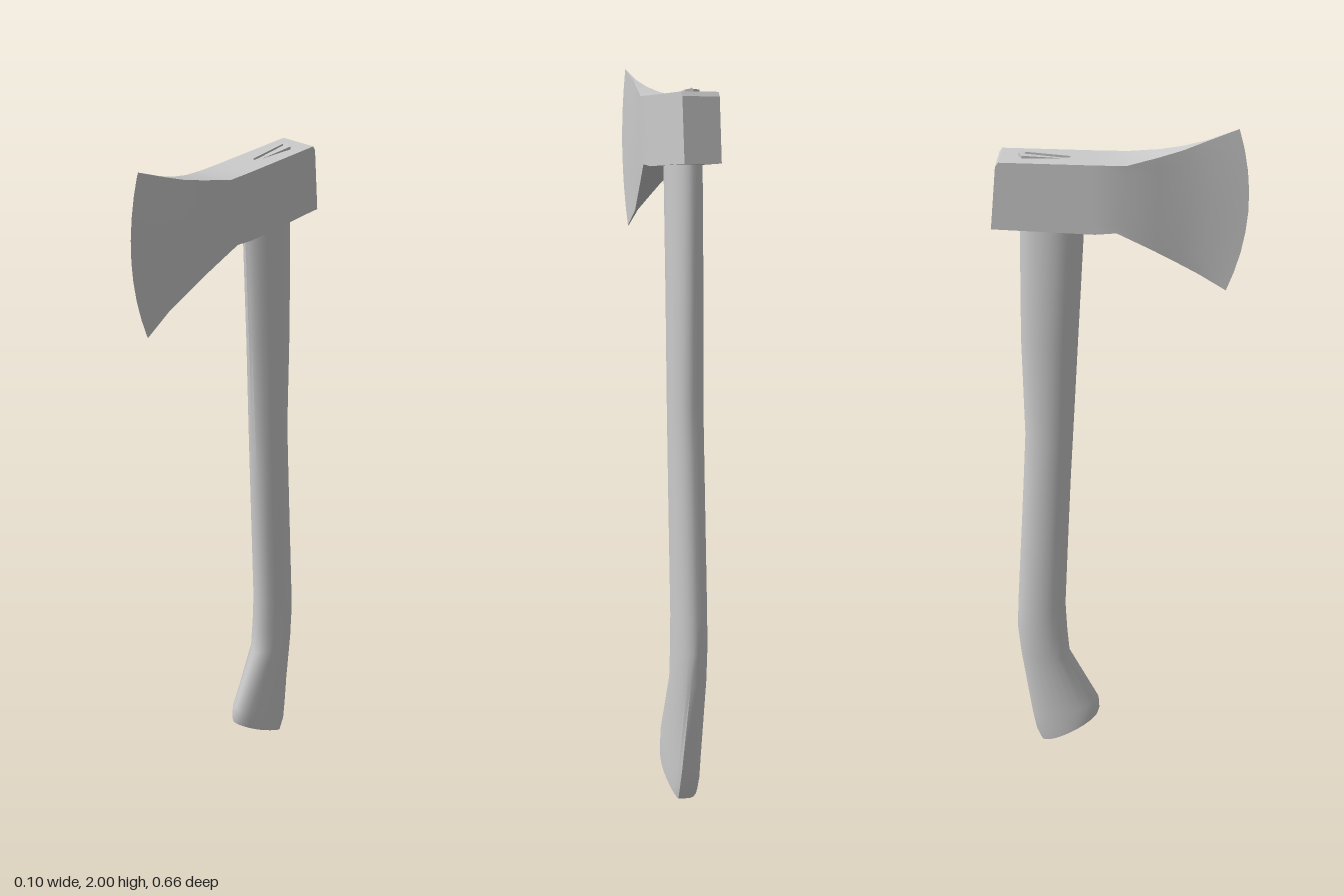
import * as THREE from 'three';
import { toCreasedNormals } from 'three/addons/utils/BufferGeometryUtils.js';

const material = new THREE.MeshStandardMaterial({ color: 0xcccccc });

// Skin a list of closed rings (each counter-clockwise about the direction of travel) and cap both ends.
function loft(rings, crease) {
  const pos = [];
  const tri = (...pts) => pts.forEach((p) => pos.push(p.x, p.y, p.z));
  const n = rings[0].length;
  const centre = (ring) => ring.reduce((s, p) => s.add(p), new THREE.Vector3()).divideScalar(n);
  const first = rings[0], last = rings[rings.length - 1];
  const c0 = centre(first), c1 = centre(last);
  for (let j = 0; j < n; j++) {
    const k = (j + 1) % n;
    for (let i = 0; i < rings.length - 1; i++) {
      const a = rings[i], b = rings[i + 1];
      tri(a[j], a[k], b[k]);
      tri(a[j], b[k], b[j]);
    }
    tri(c0, first[k], first[j]);
    tri(c1, last[j], last[k]);
  }
  const geo = new THREE.BufferGeometry();
  geo.setAttribute('position', new THREE.Float32BufferAttribute(pos, 3));
  return toCreasedNormals(geo, crease);
}

function part(name, geometry) {
  const mesh = new THREE.Mesh(geometry, material);
  mesh.name = name;
  return mesh;
}

// Axe head: columns from the poll to the cutting edge
function headGeometry() {
  // [zTop, yTop, zBottom, yBottom, halfWidth, forward bulge]
  const columns = [
    [-0.31, 1.908, -0.327, 1.738, 0.051, 0],
    [-0.302, 1.92, -0.31, 1.738, 0.051, 0],
    [-0.06, 1.917, -0.06, 1.729, 0.051, 0],
    [0.02, 1.917, -0.005, 1.734, 0.051, 0],
    [0.1, 1.932, 0.09, 1.677, 0.029, 0.005],
    [0.16, 1.947, 0.15, 1.639, 0.016, 0.012],
    [0.22, 1.968, 0.205, 1.603, 0.004, 0.025],
    [0.3, 2.0, 0.28, 1.555, 0.001, 0.04],
  ];
  const rows = 8;
  const rings = columns.map(([zt, yt, zb, yb, w, bulge]) => {
    const side = (sx) => Array.from({ length: rows + 1 }, (_, i) => {
      const t = i / rows;
      return new THREE.Vector3(sx * w, yb + (yt - yb) * t, zb + (zt - zb) * t + bulge * 4 * t * (1 - t));
    });
    return [...side(1), ...side(-1).reverse()];
  });
  return loft(rings, 0.3);
}

// Handle: oval rings, ridged at the front near the top and cut at a slant at the foot
function handleGeometry() {
  // [yFront, zFront, yBack, zBack, halfWidth, front ridge, back squareness on +x]
  const stations = [
    [0.11, -0.066, 0.0, -0.242, 0.046, 0, 0.6],
    [0.125, -0.062, 0.04, -0.258, 0.047, 0, 0.6],
    [0.165, -0.064, 0.1, -0.268, 0.047, 0, 0.5],
    [0.34, -0.15, 0.34, -0.297, 0.047, 0, 0.15],
    [0.42, -0.156, 0.43, -0.304, 0.047, 0, 0],
    [0.52, -0.16, 0.52, -0.3, 0.047, 0, 0],
    [0.8, -0.146, 0.8, -0.281, 0.047, 0, 0],
    [0.97, -0.137, 0.97, -0.27, 0.047, 0.1, 0],
    [1.1, -0.129, 1.1, -0.262, 0.047, 0.3, 0],
    [1.4, -0.111, 1.4, -0.265, 0.047, 0.5, 0],
    [1.78, -0.088, 1.78, -0.257, 0.047, 0.6, 0],
  ];
  const n = 24;
  const rings = stations.map(([yf, zf, yb, zb, w, ridge, square]) =>
    Array.from({ length: n }, (_, i) => {
      const a = (i / n) * Math.PI * 2, c = Math.cos(a), s = Math.sin(a);
      let x = Math.sign(s) * Math.abs(s) ** (c > 0 ? 1 + ridge * 0.6 : 1);
      if (s > 0.01 && c < 0) x += (1 - x) * square;
      const t = (1 - c) / 2;
      return new THREE.Vector3(w * x, yf + (yb - yf) * t, zf + (zb - zf) * t);
    }));
  return loft(rings, 0.6);
}

// Tip of the handle showing through the eye of the head
function tipGeometry() {
  const outline = [[0, -0.08], [-0.012, -0.17], [-0.02, -0.246], [0, -0.256], [0.02, -0.246], [0.012, -0.17]].reverse();
  const rings = [0, 1].map((top) => outline.map(([x, z]) =>
    new THREE.Vector3(x, top ? 1.905 - 0.09 * z : 1.88, z)));
  return loft(rings, 0.3);
}

export function createModel() {
  const axe = new THREE.Group();
  axe.name = 'axe';
  axe.add(part('head', headGeometry()), part('handle', handleGeometry()), part('handleTip', tipGeometry()));

  // Thin wedge driven into the handle tip
  const wedge = part('wedge', new THREE.BoxGeometry(0.003, 0.02, 0.115));
  wedge.position.set(-0.002, 1.917, -0.182);
  wedge.rotation.x = 0.08;
  axe.add(wedge);
  return axe;
}
